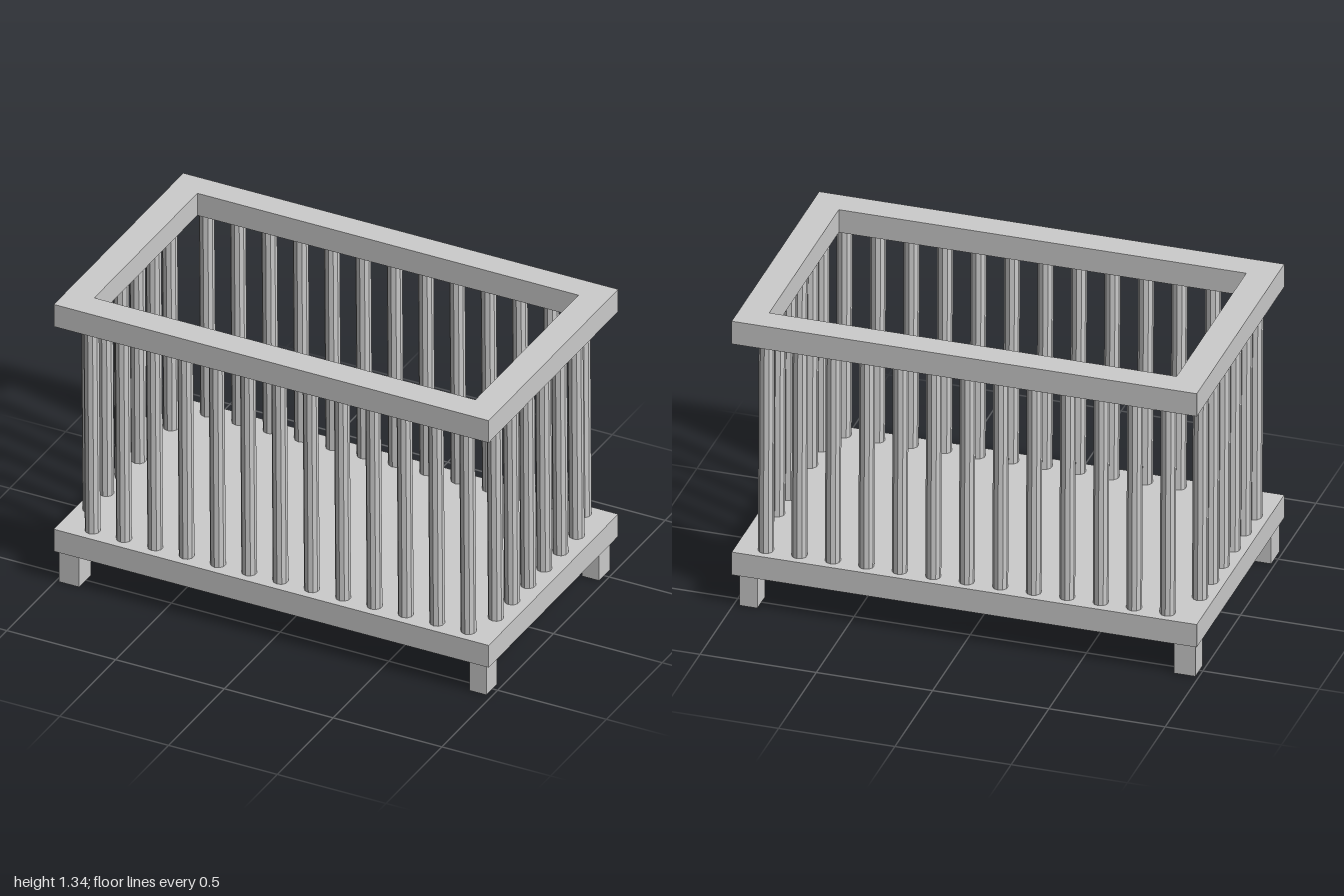
import * as THREE from 'three';

const material = new THREE.MeshStandardMaterial({ color: 0xcccccc, flatShading: true });

function rectangle(Outline, x0, x1, y0, y1) {
  return new Outline([
    new THREE.Vector2(x0, y0), new THREE.Vector2(x1, y0),
    new THREE.Vector2(x1, y1), new THREE.Vector2(x0, y1),
  ]);
}

function addBox(parent, name, [x0, x1], [y0, y1], [z0, z1]) {
  const mesh = new THREE.Mesh(new THREE.BoxGeometry(x1 - x0, y1 - y0, z1 - z0), material);
  mesh.position.set((x0 + x1) / 2, (y0 + y1) / 2, (z0 + z1) / 2);
  mesh.name = name;
  parent.add(mesh);
}

export function createModel() {
  const model = new THREE.Group();
  model.name = 'crib';
  const baseTop = 0.258, railBottom = 1.229, height = 1.335, legTop = 0.152;

  // Solid floor slab
  addBox(model, 'base', [-1, 1], [legTop, baseTop], [-0.58, 0.58]);

  // Four slightly uneven feet
  addBox(model, 'frontLeftLeg', [0.898, 0.976], [0, legTop], [0.46, 0.554]);
  addBox(model, 'backLeftLeg', [0.898, 0.976], [0, legTop], [-0.554, -0.455]);
  addBox(model, 'frontRightLeg', [-0.985, -0.893], [0, legTop], [0.453, 0.561]);
  addBox(model, 'backRightLeg', [-0.985, -0.893], [0, legTop], [-0.554, -0.457]);

  // Top rail: rectangular frame with an open middle
  const frame = rectangle(THREE.Shape, -1, 1, -0.58, 0.58);
  frame.holes.push(rectangle(THREE.Path, -0.876, 0.876, -0.458, 0.465));
  const railGeometry = new THREE.ExtrudeGeometry(frame, { depth: height - railBottom, bevelEnabled: false });
  railGeometry.rotateX(-Math.PI / 2);
  const rail = new THREE.Mesh(railGeometry, material);
  rail.name = 'topRail';
  rail.position.y = railBottom;
  model.add(rail);

  // Ten-sided bars, all leaning slightly forward
  const barGeometry = new THREE.CylinderGeometry(0.0325, 0.0325, railBottom - baseTop + 0.01, 10);
  barGeometry.rotateX(0.0125);
  function addBars(name, count, place) {
    const row = new THREE.Group();
    row.name = name;
    for (let i = 0; i < count; i++) {
      const [x, z] = place(i);
      const bar = new THREE.Mesh(barGeometry, material);
      bar.name = 'bar';
      bar.position.set(x, (baseTop + railBottom) / 2, z);
      row.add(bar);
    }
    model.add(row);
  }
  addBars('frontBars', 13, (i) => [-0.855 + i * 0.144, 0.52]);
  addBars('backBars', 13, (i) => [-0.855 + i * 0.144, -0.513]);
  addBars('leftBars', 6, (i) => [0.925, 0.376 - i * 0.1446]);
  addBars('rightBars', 6, (i) => [-0.94, 0.376 - i * 0.1446]);

  return model;
}
